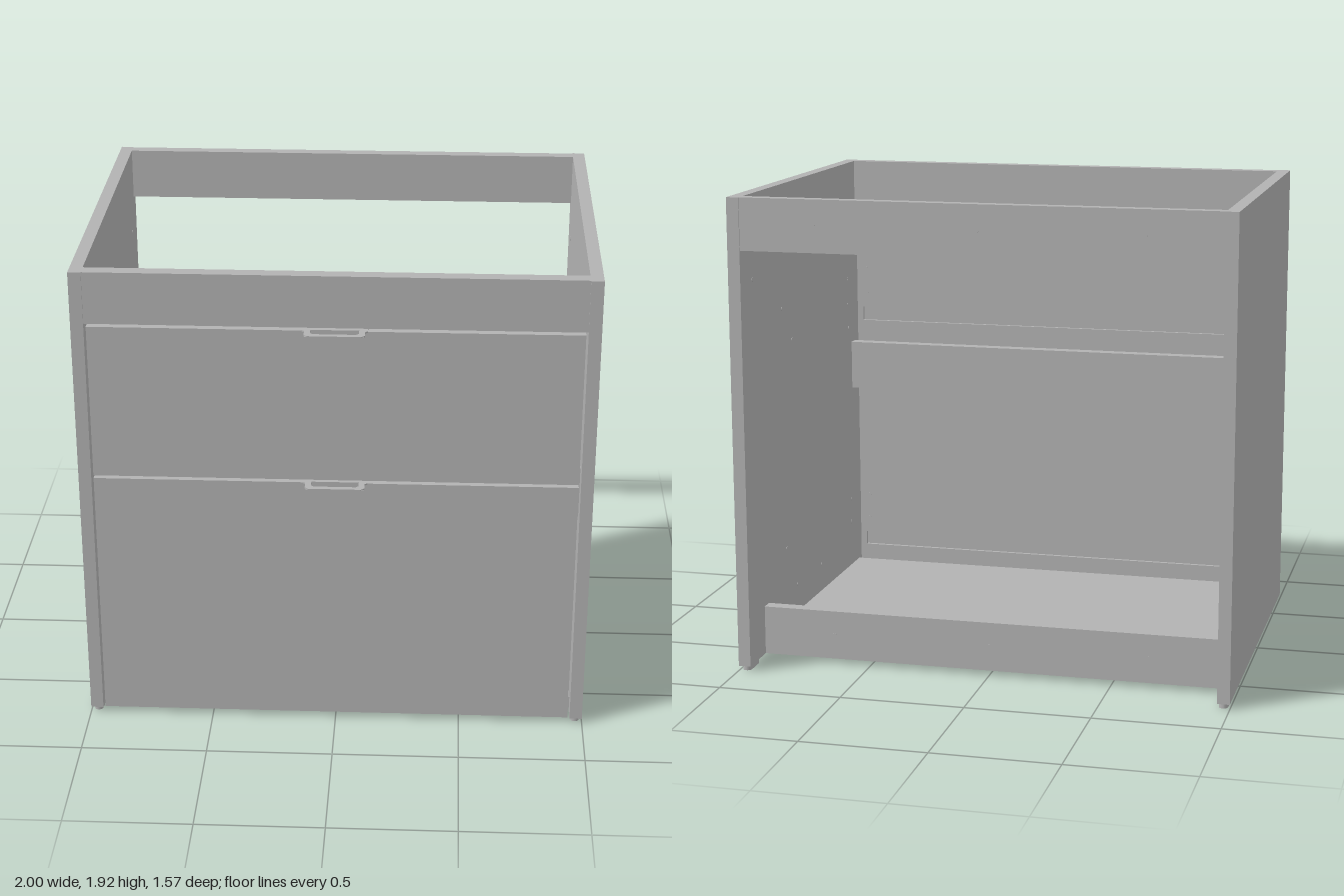
import * as THREE from 'three';

const grey = new THREE.MeshStandardMaterial({ color: 0xb2b2b2 });
grey.name = 'plain grey';

function add(parent, name, geometry) {
  const mesh = new THREE.Mesh(geometry, grey);
  mesh.name = name;
  parent.add(mesh);
  return mesh;
}

// Box given by its low and high limits on each axis
function board(parent, name, x0, x1, y0, y1, z0, z1) {
  const mesh = add(parent, name, new THREE.BoxGeometry(x1 - x0, y1 - y0, z1 - z0));
  mesh.position.set((x0 + x1) / 2, (y0 + y1) / 2, (z0 + z1) / 2);
  return mesh;
}

// Thin round cap over a drilled hole, facing along 'x' or 'z'
function drillMark(parent, x, y, z, axis) {
  const mesh = add(parent, 'drillMark', new THREE.CylinderGeometry(0.009, 0.009, 0.003, 12));
  if (axis === 'x') mesh.rotation.z = Math.PI / 2;
  else mesh.rotation.x = Math.PI / 2;
  mesh.position.set(x, y, z);
}

// Drawer front with a groove along its inner face
function drawerFront(name, y0, y1) {
  const group = new THREE.Group();
  group.name = name;
  const back = 0.67, front = 0.722, end = 0.915, half = 0.942;
  const g0 = y0 + 0.125, g1 = y0 + 0.185, deep = back + 0.015;
  const section = [[front, y0], [front, y1], [back, y1], [back, g1], [deep, g1], [deep, g0], [back, g0], [back, y0]];
  const shape = new THREE.Shape(section.map(([z, y]) => new THREE.Vector2(-z, y)));
  const geometry = new THREE.ExtrudeGeometry(shape, { depth: 2 * end, bevelEnabled: false });
  geometry.translate(0, 0, -end).rotateY(Math.PI / 2);
  add(group, 'groovedPanel', geometry);
  board(group, 'panelEnd', end, half, y0, y1, back, front);
  board(group, 'panelEnd', -half, -end, y0, y1, back, front);
  for (const s of [-1, 1])
    for (const dy of [0.25, 0.36]) drillMark(group, s * 0.9, y0 + dy, back, 'z');
  return group;
}

// Thin looped pull with a folded front lip, seated on the drawer's top edge
function pullHandle(y) {
  const group = new THREE.Group();
  group.name = 'pullHandle';
  const outline = new THREE.Shape([
    [-0.125, 0.69], [0.125, 0.69], [0.125, 0.727], [0.115, 0.735],
    [0.115, 0.772], [0.102, 0.785], [-0.102, 0.785], [-0.115, 0.772],
    [-0.115, 0.735], [-0.125, 0.727],
  ].map(([x, z]) => new THREE.Vector2(x, z)));
  outline.holes.push(new THREE.Path([
    [-0.092, 0.723], [-0.092, 0.754], [-0.082, 0.764], [0.082, 0.764], [0.092, 0.754], [0.092, 0.723],
  ].map(([x, z]) => new THREE.Vector2(x, z))));
  const plate = new THREE.ExtrudeGeometry(outline, { depth: 0.006, bevelEnabled: false });
  plate.rotateX(Math.PI / 2).translate(0, y + 0.004, 0);
  add(group, 'handlePlate', plate);

  const lipShape = new THREE.Shape([
    [-0.112, 0], [-0.105, -0.024], [0.105, -0.024], [0.112, 0],
  ].map(([x, v]) => new THREE.Vector2(x, v)));
  const lip = new THREE.ExtrudeGeometry(lipShape, { depth: 0.005, bevelEnabled: false });
  lip.translate(0, y, 0.78);
  add(group, 'handleLip', lip);
  return group;
}

// Flat foot pad with rounded ends, running from z0 to z1
function foot(parent, x, z0, z1, width, height) {
  const r = width / 2;
  const shape = new THREE.Shape();
  shape.absarc(0, z1 - r, r, 0, Math.PI, false);
  shape.absarc(0, z0 + r, r, Math.PI, 2 * Math.PI, false);
  const geometry = new THREE.ExtrudeGeometry(shape, { depth: height, bevelEnabled: false, curveSegments: 8 });
  geometry.rotateX(Math.PI / 2).translate(x, 0.02, 0);
  add(parent, 'foot', geometry);
}

export function createModel() {
  const model = new THREE.Group();
  model.name = 'drawerCabinet';

  // Side panels with feet and drilled inner faces
  const holes = [
    [1.58, -0.65], [1.41, -0.32], [1.26, -0.2], [1.4, 0.555], [1.29, 0.555], [1.18, 0.555],
    [0.385, 0.555], [0.28, 0.555], [0.39, -0.32], [0.2, -0.2], [0.2, 0.12],
  ];
  for (const s of [-1, 1]) {
    const side = new THREE.Group();
    side.name = s > 0 ? 'leftSide' : 'rightSide';
    model.add(side);
    board(side, 'sidePanel', s > 0 ? 0.95 : -1, s > 0 ? 1 : -0.95, 0.02, 1.92, -0.785, 0.727);
    for (const [y, z] of holes) drillMark(side, s * 0.95, y, z, 'x');
    foot(side, s * 0.972, 0.53, 0.715, 0.034, 0.02);
    foot(side, s * 0.972, 0.63, 0.715, 0.042, 0.014);
    foot(side, s * 0.972, -0.775, -0.66, 0.036, 0.02);
  }

  // Cross rails and floor
  board(model, 'frontTopRail', -0.95, 0.95, 1.712, 1.92, 0.67, 0.722);
  board(model, 'middleRail', -0.95, 0.95, 0.9, 1.11, 0.595, 0.645);
  board(model, 'backTopRail', -0.95, 0.95, 1.712, 1.92, -0.78, -0.733);
  board(model, 'backBottomRail', -0.95, 0.95, 0.02, 0.22, -0.605, -0.553);
  board(model, 'floorPanel', -0.95, 0.95, 0.03, 0.08, -0.553, 0.66);
  for (const x of [-0.65, 0, 0.65]) {
    drillMark(model, x, 1.82, -0.78, 'z');
    drillMark(model, x, 0.12, -0.605, 'z');
  }

  // Drawer fronts and pulls
  model.add(drawerFront('upperDrawerFront', 1.075, 1.7), pullHandle(1.7));
  model.add(drawerFront('lowerDrawerFront', 0.022, 1.063), pullHandle(1.063));

  return model;
}
